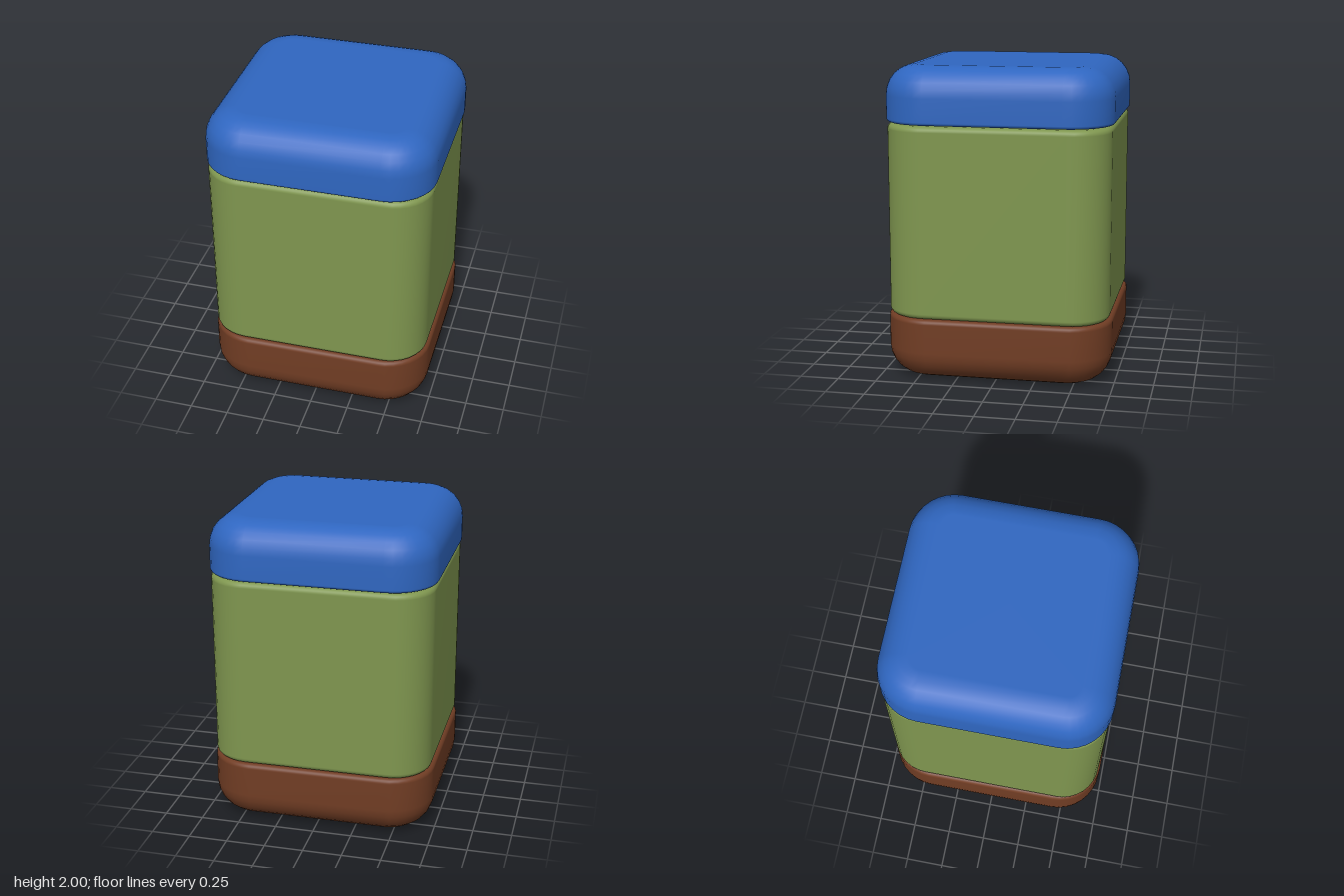
import * as THREE from 'three';

const CORNER_STEPS = 8;
const EDGE_STEPS = 6;

// Rounded square block: plan corners, plus separate bottom and top edge radii
function roundedBlock({ half, corner, y0, y1, bottomEdge, topEdge }) {
  // side profile as [inset, height], bottom to top
  const profile = [[bottomEdge + 0.02, y0]];
  for (let i = 0; i <= EDGE_STEPS; i++) {
    const a = (i / EDGE_STEPS) * Math.PI / 2;
    profile.push([bottomEdge * (1 - Math.sin(a)), y0 + bottomEdge * (1 - Math.cos(a))]);
  }
  for (let i = 0; i <= EDGE_STEPS; i++) {
    const a = (i / EDGE_STEPS) * Math.PI / 2;
    profile.push([topEdge * (1 - Math.cos(a)), y1 - topEdge * (1 - Math.sin(a))]);
  }
  profile.push([topEdge + 0.02, y1]);

  const positions = [], index = [];
  const n = 4 * (CORNER_STEPS + 1);
  for (const [inset, y] of profile) {
    const r = Math.max(corner - inset, 0.02);
    const c = half - inset - r;
    for (let q = 0; q < 4; q++) {
      const mid = (q + 0.5) * Math.PI / 2;
      const cx = Math.sign(Math.cos(mid)) * c, cz = -Math.sign(Math.sin(mid)) * c;
      for (let k = 0; k <= CORNER_STEPS; k++) {
        const a = (q + k / CORNER_STEPS) * Math.PI / 2;
        positions.push(cx + r * Math.cos(a), y, cz - r * Math.sin(a));
      }
    }
  }
  // walls
  for (let i = 0; i < profile.length - 1; i++) {
    for (let j = 0; j < n; j++) {
      const a = i * n + j, b = i * n + (j + 1) % n;
      index.push(a, b, b + n, a, b + n, a + n);
    }
  }
  // flat bottom and top
  const low = positions.length / 3, high = low + 1, last = (profile.length - 1) * n;
  positions.push(0, y0, 0, 0, y1, 0);
  for (let j = 0; j < n; j++) {
    const k = (j + 1) % n;
    index.push(low, k, j, high, last + j, last + k);
  }
  const geometry = new THREE.BufferGeometry();
  geometry.setAttribute('position', new THREE.Float32BufferAttribute(positions, 3));
  geometry.setIndex(index);
  geometry.computeVertexNormals();
  return geometry;
}

function material(name, color) {
  const m = new THREE.MeshStandardMaterial({ color });
  m.name = name;
  return m;
}

export function createModel() {
  const group = new THREE.Group();
  group.name = 'roundedBlockStack';

  const add = (name, mat, dims) => {
    const mesh = new THREE.Mesh(roundedBlock(dims), mat);
    mesh.name = name;
    group.add(mesh);
  };

  // brown base, rounded underneath
  add('base', material('brown', 0x713d24),
    { half: 0.725, corner: 0.29, y0: 0, y1: 0.41, bottomEdge: 0.19, topEdge: 0.03 });
  // green middle with tight edges
  add('body', material('green', 0x7f964f),
    { half: 0.712, corner: 0.25, y0: 0.41, y1: 1.635, bottomEdge: 0.035, topEdge: 0.035 });
  // blue lid, rounded on top
  add('lid', material('blue', 0x2f66c0),
    { half: 0.725, corner: 0.29, y0: 1.643, y1: 2, bottomEdge: 0.02, topEdge: 0.19 });

  return group;
}
